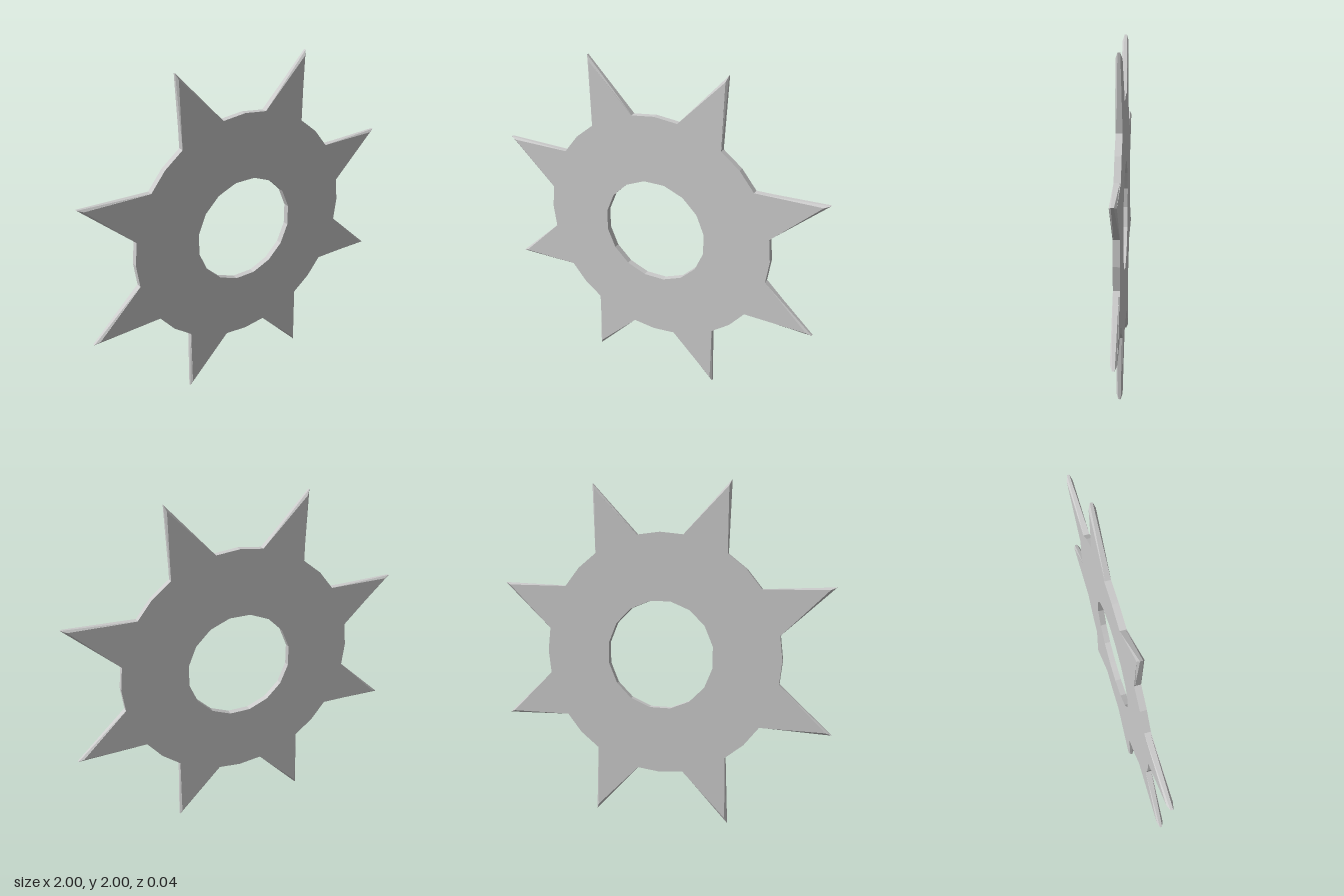
import * as THREE from 'three';

const STEPS = 32;      // eight teeth, four outline points each
const HALF = 0.018;    // half thickness
const EDGE = 0.007;    // half thickness left at the tooth tips

// Hole: 16 sides, with the odd points on its corners
const holeRadius = i => (i % 2 ? 0.325 : 0.319);

// Outline: tooth tip, tooth base, valley, tooth base
const outlineRadius = (i, tip) => (i % 4 === 2 ? tip : i % 2 ? 0.716 : 0.718);

function ring(radius, z) {
  return Array.from({ length: STEPS }, (_, i) => {
    const a = (i / STEPS) * Math.PI * 2;
    return [Math.sin(a) * radius(i), Math.cos(a) * radius(i), typeof z === 'function' ? z(i) : z];
  });
}

export function createModel() {
  const tip = 1 / Math.cos(Math.PI / 8);
  const face = i => outlineRadius(i, tip - 0.035);
  const rim = i => outlineRadius(i, tip);
  const edge = i => (i % 4 === 2 ? EDGE : HALF * 0.75);

  // Closed cross-section: hole wall, front face, bevelled rim, back face
  const rings = [
    ring(holeRadius, -HALF),
    ring(holeRadius, HALF),
    ring(face, HALF),
    ring(rim, edge),
    ring(rim, i => -edge(i)),
    ring(face, -HALF),
  ];

  const positions = [];
  rings.forEach((r, k) => {
    const next = rings[(k + 1) % rings.length];
    for (let i = 0; i < STEPS; i++) {
      const j = (i + 1) % STEPS;
      positions.push(...r[i], ...next[i], ...next[j], ...r[i], ...next[j], ...r[j]);
    }
  });
  // Angles run clockwise seen from the front, so check the winding once and flip it if needed
  const geometry = new THREE.BufferGeometry();
  geometry.setAttribute('position', new THREE.Float32BufferAttribute(positions, 3));
  geometry.computeVertexNormals();

  const blade = new THREE.Mesh(
    geometry,
    new THREE.MeshStandardMaterial({ color: 0xcccccc, flatShading: true, side: THREE.DoubleSide })
  );
  blade.name = 'toothedDisc';
  blade.position.y = 1;

  const group = new THREE.Group();
  group.name = 'starWheel';
  group.add(blade);
  return group;
}
